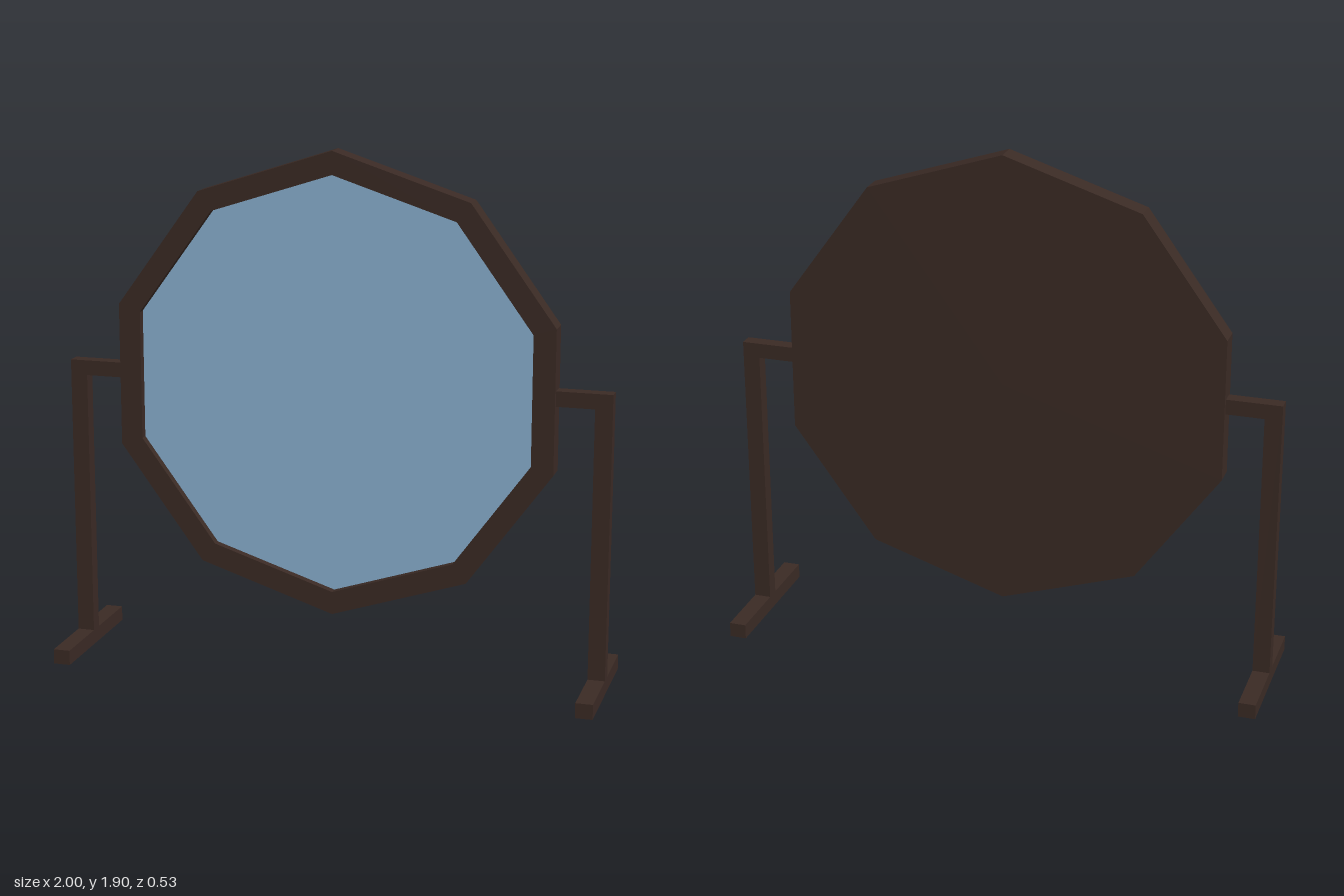
import * as THREE from 'three';

const SIDES = 10;
const CENTER_Y = 1.056;
const OUTER = 0.842, INNER = 0.758;
const HALF_DEPTH = 0.04, GLASS_Z = 0.01;

const wood = new THREE.MeshStandardMaterial({ color: 0x3a2a24, flatShading: true });
const glass = new THREE.MeshStandardMaterial({ color: 0x8ab2d2, flatShading: true });

function box(name, w, h, d, x, y, z) {
  const mesh = new THREE.Mesh(new THREE.BoxGeometry(w, h, d), wood);
  mesh.name = name;
  mesh.position.set(x, y, z);
  return mesh;
}

export function createModel() {
  const model = new THREE.Group();
  model.name = 'standingMirror';

  // Ten-sided frame with a closed back and a recessed front
  const profile = [
    [0, -HALF_DEPTH], [OUTER, -HALF_DEPTH], [OUTER, HALF_DEPTH],
    [INNER, HALF_DEPTH], [INNER, GLASS_Z],
  ].map(([r, y]) => new THREE.Vector2(r, y));
  const frameGeometry = new THREE.LatheGeometry(profile, SIDES).rotateX(Math.PI / 2);
  const frame = new THREE.Mesh(frameGeometry, wood);
  frame.name = 'frame';
  frame.position.y = CENTER_Y;
  model.add(frame);

  // Mirror glass set into the frame, one corner at the top
  const pane = new THREE.Mesh(new THREE.CircleGeometry(INNER, SIDES, Math.PI / 2), glass);
  pane.name = 'mirrorGlass';
  pane.position.set(0, CENTER_Y, GLASS_Z);
  model.add(pane);

  // Stand on each side: foot, post and pivot arm
  for (const [side, s] of [['left', 1], ['right', -1]]) {
    const stand = new THREE.Group();
    stand.name = `${side}Stand`;
    stand.add(
      box('foot', 0.062, 0.055, 0.526, s * 0.969, 0.0275, 0),
      box('post', 0.062, 1.04, 0.05, s * 0.969, 0.575, 0),
      box('pivotArm', 0.148, 0.055, 0.05, s * 0.866, 1.0675, 0),
    );
    model.add(stand);
  }
  return model;
}
